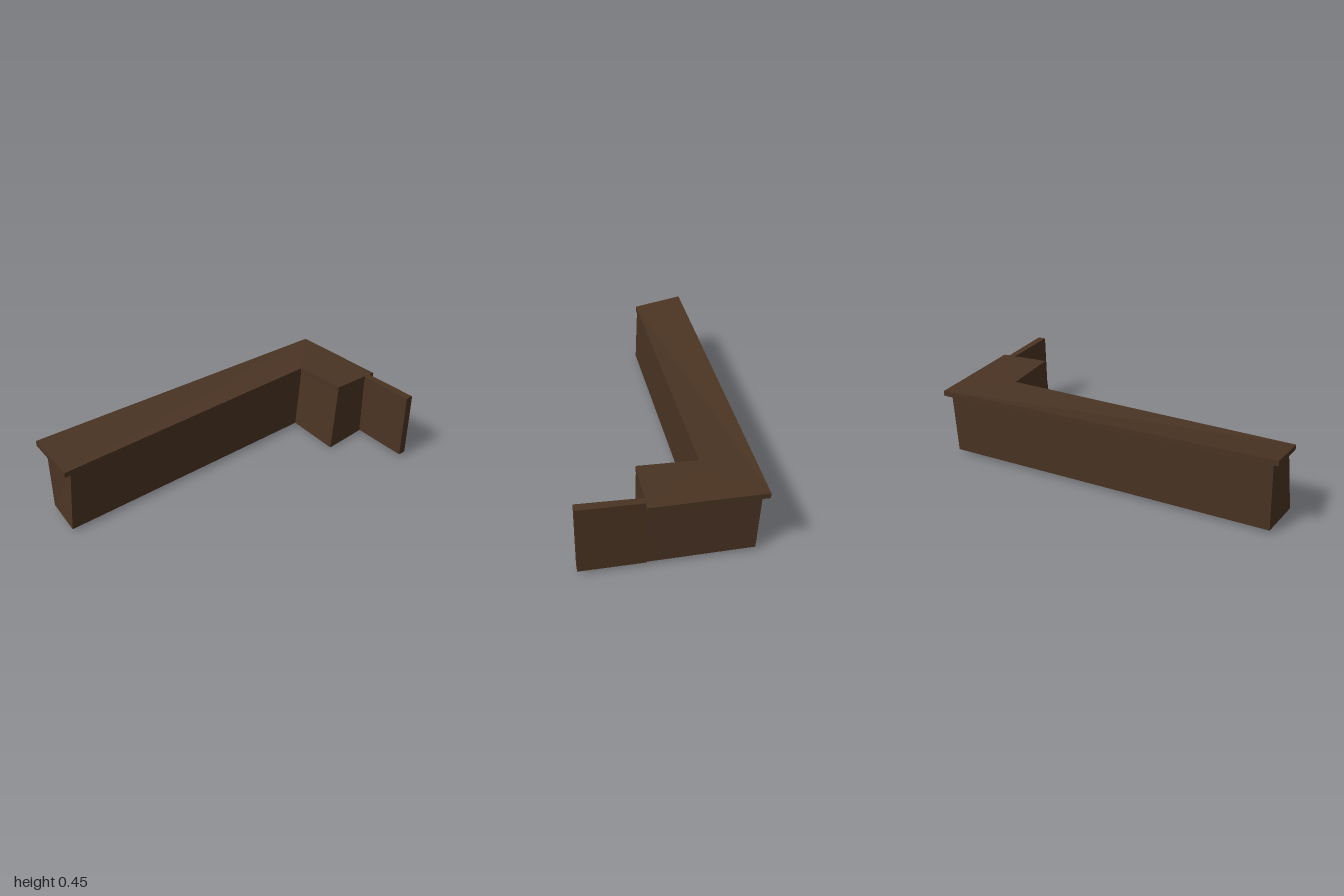
import * as THREE from 'three';

const wood = new THREE.MeshStandardMaterial({ color: 0x4a3423, side: THREE.DoubleSide });
wood.name = 'dark brown wood';

// Joins a lower and an upper ring (counterclockwise seen from above), with optional end caps.
function loft(name, lower, upper, capped) {
  const pos = [];
  const tri = (a, b, c) => pos.push(...a, ...b, ...c);
  const n = lower.length;
  for (let i = 0; i < n; i++) {
    const j = (i + 1) % n;
    tri(lower[i], lower[j], upper[j]);
    tri(lower[i], upper[j], upper[i]);
  }
  if (capped) {
    const outline = upper.map(([x, , z]) => new THREE.Vector2(x, -z));
    for (const [a, b, c] of THREE.ShapeUtils.triangulateShape(outline, [])) {
      tri(upper[a], upper[b], upper[c]);
      tri(lower[c], lower[b], lower[a]);
    }
  }
  const geometry = new THREE.BufferGeometry();
  geometry.setAttribute('position', new THREE.Float32BufferAttribute(pos, 3));
  geometry.computeVertexNormals();
  const mesh = new THREE.Mesh(geometry, wood);
  mesh.name = name;
  return mesh;
}

const lowerBy = (ring, d) => ring.map(([x, y, z]) => [x, y - d, z]);

export function createModel() {
  const group = new THREE.Group();
  group.name = 'cornerCounter';

  // L-shaped worktop, slightly warped
  const top = [
    [-1, 0.456, -0.48], [-1, 0.406, -0.19], [0.69, 0.42, -0.19],
    [0.69, 0.432, 0.137], [0.995, 0.42, 0.137], [0.995, 0.413, -0.47],
  ];
  group.add(loft('worktop', lowerBy(top, 0.03), top, true));

  // Thin crooked walls, open underneath
  const wallBottom = [
    [-0.97, 0.026, -0.435], [-1, 0.026, -0.188], [0.66, 0.026, -0.188],
    [0.66, 0.004, 0.135], [0.955, 0.027, 0.135], [0.955, 0.027, -0.435],
  ];
  const wallTop = [
    [-0.965, 0.42, -0.443], [-0.965, 0.385, -0.19], [0.692, 0.4, -0.19],
    [0.692, 0.41, 0.135], [0.96, 0.4, 0.135], [0.96, 0.39, -0.443],
  ];
  group.add(loft('counterWalls', wallBottom, wallTop, false));

  // Narrow panel running forward from the short wing
  const panelTop = [
    [0.92, 0.42, 0.13], [0.91, 0.427, 0.48], [0.957, 0.427, 0.48], [0.96, 0.42, 0.13],
  ];
  const panelBottom = panelTop.map(([x, , z]) => [x, 0.027, z]);
  group.add(loft('sidePanel', panelBottom, panelTop, true));

  return group;
}
